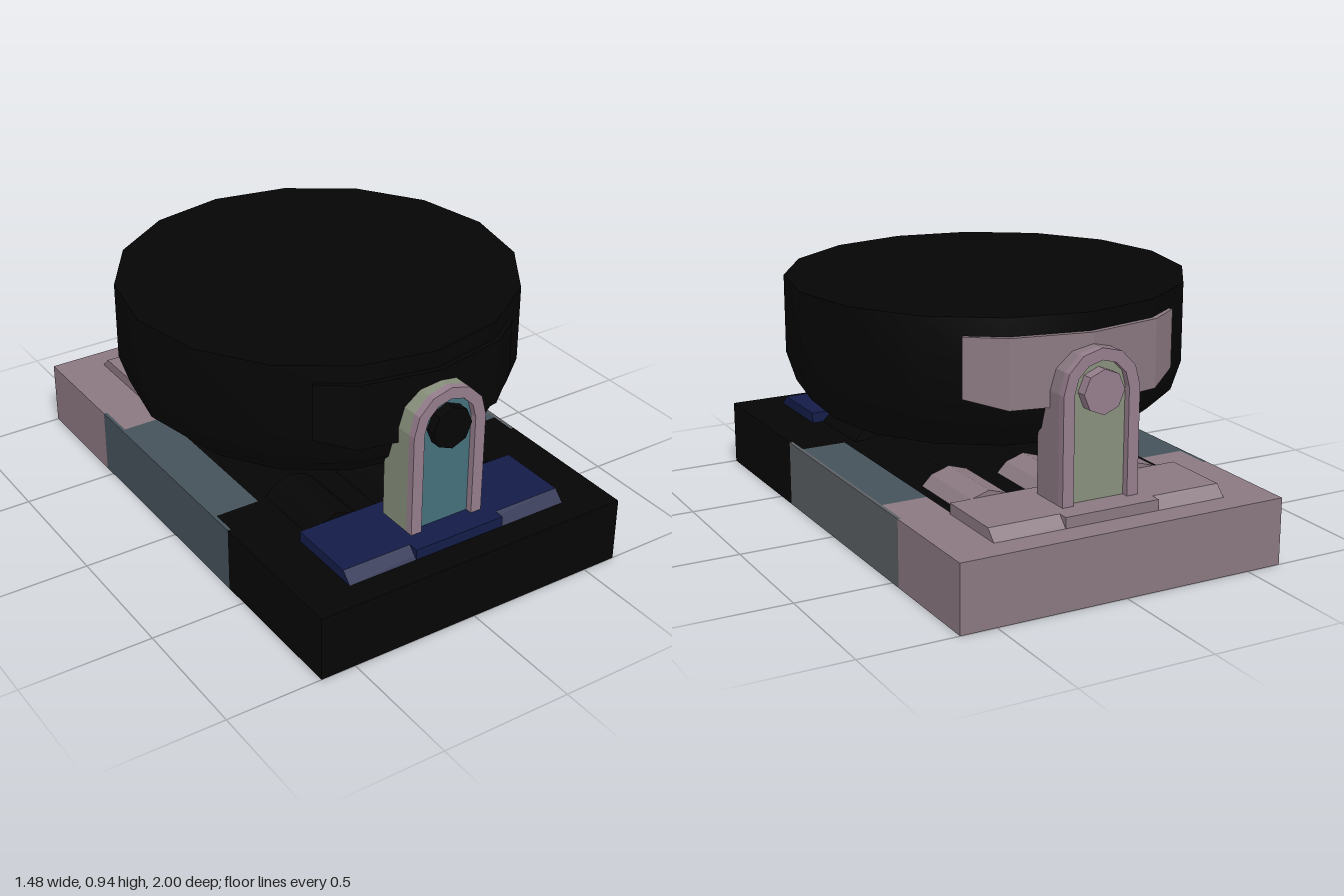
import * as THREE from 'three';
import { toCreasedNormals } from 'three/addons/utils/BufferGeometryUtils.js';

const paint = (color) => new THREE.MeshStandardMaterial({ color, flatShading: true });
const black = paint(0x050505);
const drumBlack = new THREE.MeshStandardMaterial({ color: 0x050505 });
const navy = paint(0x141c48);
const teal = paint(0x45707c);
const slate = paint(0x46525a);
const ash = paint(0x5c6064);
const mauve = paint(0x8a7880);
const sage = paint(0x88907c);
const rose = paint(0x957d8c);

const frontPaint = { plate: navy, lip: navy, post: sage, panel: teal, rim: rose, pin: black, pad: black };
const backPaint = { plate: mauve, lip: mauve, post: mauve, panel: sage, rim: rose, pin: rose, pad: mauve };

const shapeOf = (pts) => new THREE.Shape(pts.map(([x, y]) => new THREE.Vector2(x, y)));
const extrude = (shape, depth) =>
  new THREE.ExtrudeGeometry(shape, { depth, bevelEnabled: false, curveSegments: 1 });

function add(parent, name, geometry, material, x = 0, y = 0, z = 0) {
  const mesh = new THREE.Mesh(geometry, material);
  mesh.name = name;
  mesh.position.set(x, y, z);
  parent.add(mesh);
}

// Box given by its x, y and z limits
function addBox(parent, name, material, [x0, x1], [y0, y1], [z0, z1]) {
  add(parent, name, new THREE.BoxGeometry(x1 - x0, y1 - y0, z1 - z0), material,
    (x0 + x1) / 2, (y0 + y1) / 2, (z0 + z1) / 2);
}

// Arch outline: straight legs from y0 and a six-sided round top
function archPoints(r, y0) {
  const pts = [[-r, y0], [r, y0], [r, 0.5]];
  for (let i = 0; i <= 6; i++) {
    const a = (i / 6) * Math.PI;
    pts.push([r * Math.cos(a), 0.68 + r * Math.sin(a)]);
  }
  pts.push([-r, 0.5]);
  return pts;
}

// Tray that is open underneath, with stepped slots below the rods
function makeBase() {
  const base = new THREE.Group();
  base.name = 'base';

  // Walls in panels, from dark at the front to lighter at the back
  const tall = [0, 0.25];
  addBox(base, 'frontWall', black, [-0.635, 0.635], tall, [0.987, 1]);
  addBox(base, 'backWall', mauve, [-0.635, 0.635], tall, [-1, -0.987]);
  const sides = [['right', [0.622, 0.635], ash], ['left', [-0.635, -0.622], slate]];
  for (const [side, x, middle] of sides) {
    addBox(base, side + 'WallFront', black, x, tall, [0.4, 0.987]);
    addBox(base, side + 'WallMiddle', middle, x, tall, [-0.55, 0.4]);
    addBox(base, side + 'WallBack', mauve, x, tall, [-0.987, -0.55]);
  }

  // Deck
  const thin = [0.23, 0.25];
  addBox(base, 'deckFront', black, [-0.622, 0.622], thin, [0.6, 0.987]);
  addBox(base, 'deckBack', mauve, [-0.622, 0.622], thin, [-0.987, -0.6]);
  for (const x of [[-0.622, -0.45], [0.45, 0.622]]) {
    addBox(base, 'deckSideFront', black, x, thin, [0.3, 0.6]);
    addBox(base, 'deckSideMiddle', slate, x, thin, [-0.4, 0.3]);
    addBox(base, 'deckSideBack', mauve, x, thin, [-0.6, -0.4]);
  }

  const rodX = [-0.305, 0, 0.305];
  const deck = shapeOf([[-0.45, -0.6], [0.45, -0.6], [0.45, 0.6], [-0.45, 0.6]]);
  for (const x of rodX) {
    const a = 0.105, b = 0.05;
    deck.holes.push(shapeOf([
      [-a, -0.585], [a, -0.585], [a, -0.29], [b, -0.29], [b, 0.29], [a, 0.29],
      [a, 0.585], [-a, 0.585], [-a, 0.29], [-b, 0.29], [-b, -0.29], [-a, -0.29],
    ].map(([px, py]) => [px + x, py])));
  }
  add(base, 'slottedDeck', extrude(deck, 0.02).rotateX(-Math.PI / 2), black, 0, 0.23);

  // Rods with thick ends and a slim middle
  const thick = shapeOf([[-0.11, 0.248], [0.11, 0.248], [0.07, 0.288], [0, 0.31], [-0.07, 0.288]]);
  const slim = shapeOf([[-0.06, 0.248], [0.06, 0.248], [0.035, 0.26], [-0.035, 0.26]]);
  for (const x of rodX) {
    add(base, 'rodFrontEnd', extrude(thick, 0.3), black, x, 0, 0.29);
    add(base, 'rodBackEnd', extrude(thick, 0.3), mauve, x, 0, -0.59);
    add(base, 'rodMiddle', extrude(slim, 0.58), black, x, 0, -0.29);
    addBox(base, 'rodUnderside', black, [x - 0.105, x + 0.105], [0.244, 0.248], [-0.585, -0.29]);
  }
  return base;
}

// Upright bracket, modelled at the front
function makeBracket(paints) {
  const bracket = new THREE.Group();

  // Mounting plate with a sloped outer edge and a raised lip
  const plate = new THREE.BoxGeometry(0.915, 0.04, 0.31);
  const pp = plate.attributes.position;
  for (let i = 0; i < pp.count; i++) {
    if (pp.getY(i) > 0 && pp.getZ(i) > 0) pp.setZ(i, 0.115);
  }
  add(bracket, 'mountingPlate', plate, paints.plate, 0, 0.27, 0.745);
  addBox(bracket, 'plateLip', paints.lip, [-0.185, 0.185], [0.25, 0.29], [0.84, 0.9]);

  // Post that leans outward on its inner face
  const body = extrude(shapeOf(archPoints(0.15, 0.25)), 0.14);
  const p = body.attributes.position;
  for (let i = 0; i < p.count; i++) {
    const lean = THREE.MathUtils.clamp((p.getY(i) - 0.5) / 0.33, 0, 1) * 0.1;
    p.setZ(i, p.getZ(i) > 0.07 ? 0.79 : 0.65 + lean);
  }
  body.computeVertexNormals();
  add(bracket, 'post', body, paints.post);
  add(bracket, 'recessedPanel', extrude(shapeOf(archPoints(0.107, 0.26)), 0.003), paints.panel, 0, 0, 0.79);

  // Raised rim around the outer face
  const rim = shapeOf(archPoints(0.15, 0.25));
  rim.holes.push(shapeOf(archPoints(0.107, 0.26)));
  add(bracket, 'rim', extrude(rim, 0.03), paints.rim, 0, 0, 0.79);

  // Foot passing through the tray deck, a channel open underneath
  addBox(bracket, 'foot', mauve, [-0.15, 0.15], [0.19, 0.25], [0.65, 0.82]);
  for (const x of [[-0.15, -0.11], [0.11, 0.15]]) {
    addBox(bracket, 'footLeg', mauve, x, [0.13, 0.19], [0.65, 0.82]);
  }

  // Pivot pin
  const pin = new THREE.CylinderGeometry(0.08, 0.08, 0.135, 8).rotateX(Math.PI / 2);
  add(bracket, 'pivotPin', pin, paints.pin, 0, 0.68, 0.767);

  // Curved pad hugging the drum, its lower corners cut upward
  const arc = [-34.5, -22.5, 0, 22.5, 34.5].map((d) => THREE.MathUtils.degToRad(d));
  const at = (r) => (a) => {
    const reach = Math.abs(a) > 0.5 ? r - 0.02 : r;
    return [reach * Math.sin(a), -reach * Math.cos(a)];
  };
  const padShape = shapeOf([...arc.map(at(0.76)), ...arc.slice().reverse().map(at(0.7))]);
  const pad = extrude(padShape, 0.25).rotateX(-Math.PI / 2);
  const q = pad.attributes.position;
  for (let i = 0; i < q.count; i++) {
    if (q.getY(i) < 0.1 && Math.abs(q.getX(i)) > 0.35) q.setY(i, 0.035);
  }
  add(bracket, 'pad', pad, paints.pad, 0, 0.62);
  return bracket;
}

export function createModel() {
  const model = new THREE.Group();
  model.name = 'pivotingDrumStand';
  model.add(makeBase());

  // Sixteen-sided drum with a rounded lower edge
  const profile = [[0, 0.455], [0.62, 0.455], [0.705, 0.535], [0.74, 0.645], [0.74, 0.935], [0, 0.935]];
  const drum = new THREE.LatheGeometry(profile.map(([x, y]) => new THREE.Vector2(x, y)), 16);
  add(model, 'drum', toCreasedNormals(drum, 0.7), drumBlack);

  // Matching brackets front and back
  for (const [name, turn, paints] of [['frontBracket', 0, frontPaint], ['backBracket', Math.PI, backPaint]]) {
    const bracket = makeBracket(paints);
    bracket.name = name;
    bracket.rotation.y = turn;
    model.add(bracket);
  }
  return model;
}
